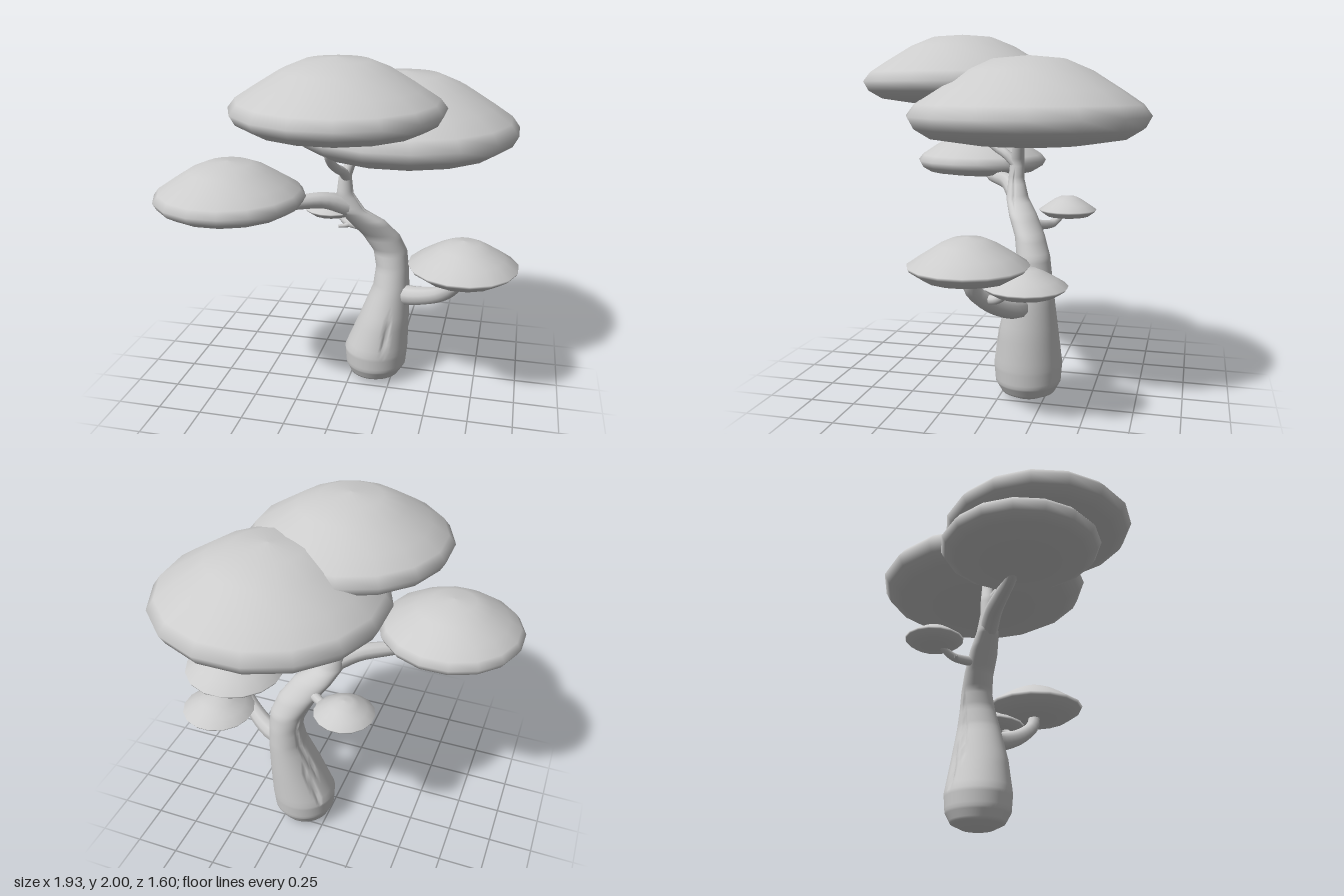
import * as THREE from 'three';

const clay = new THREE.MeshStandardMaterial({ color: 0xcccccc });
clay.name = 'pale grey';

// Canopy profiles, bottom centre to top centre: radius and height as fractions
const largeProfile = [[0, 0], [0.5, 0.02], [0.82, 0.09], [0.95, 0.2], [1, 0.33], [0.93, 0.46], [0.77, 0.61], [0.52, 0.83], [0.3, 0.96], [0, 1]];
const smallProfile = [[0, 0], [0.45, 0], [0.74, 0.03], [0.97, 0.26], [1, 0.34], [0.75, 0.58], [0.48, 0.82], [0.28, 0.95], [0, 1]];

// Trunk sections: height, centre x, centre z, half width x, half width z
const trunkSections = [
  [0.01, 0.145, -0.155, 0.09, 0.09],
  [0.04, 0.145, -0.155, 0.15, 0.15],
  [0.1, 0.15, -0.155, 0.182, 0.182],
  [0.2, 0.152, -0.155, 0.19, 0.19],
  [0.4, 0.195, -0.165, 0.15, 0.165],
  [0.6, 0.232, -0.185, 0.108, 0.128],
  [0.72, 0.235, -0.195, 0.097, 0.105],
  [0.82, 0.22, -0.195, 0.1, 0.09],
  [0.92, 0.17, -0.165, 0.11, 0.08],
  [1.02, 0.095, -0.11, 0.11, 0.075],
  [1.1, 0.015, -0.06, 0.078, 0.062],
  [1.2, -0.02, -0.045, 0.048, 0.046],
  [1.3, -0.02, -0.05, 0.036, 0.04],
  [1.4, 0.018, -0.065, 0.028, 0.032],
  [1.56, 0.05, -0.08, 0.024, 0.026],
];

// Bark grooves: angle from +x toward +z (start, end), height range, half angle, depth
const grooves = [
  [1.15, 1.3, 0.2, 0.48, 0.1, 0.14],
  [3.7, 3.85, 0.17, 0.47, 0.1, 0.14],
  [3.35, 3.75, 0.36, 0.86, 0.13, 0.16],
  [0.1, 0.1, 1.07, 1.25, 0.22, 0.2],
];

function grooveDepth(angle, y) {
  let depth = 0;
  for (const [a0, a1, y0, y1, half, amount] of grooves) {
    const t = (y - y0) / (y1 - y0);
    if (t <= 0 || t >= 1) continue;
    const width = half * Math.sin(Math.PI * t);
    let d = angle - (a0 + (a1 - a0) * t);
    d = Math.abs(Math.atan2(Math.sin(d), Math.cos(d)));
    if (d < width) depth = Math.max(depth, amount * (1 - d / width));
  }
  return depth;
}

function trunkGeometry() {
  const sides = 72, steps = 5, pos = [], index = [], rows = [];
  for (let i = 0; i < trunkSections.length - 1; i++) {
    for (let s = 0; s < steps; s++) {
      rows.push(trunkSections[i].map((v, k) => v + (trunkSections[i + 1][k] - v) * s / steps));
    }
  }
  rows.push(trunkSections[trunkSections.length - 1]);
  for (const [y, cx, cz, rx, rz] of rows) {
    for (let j = 0; j < sides; j++) {
      const a = j / sides * Math.PI * 2, k = 1 - grooveDepth(a, y);
      pos.push(cx + Math.cos(a) * rx * k, y, cz + Math.sin(a) * rz * k);
    }
  }
  for (let i = 0; i < rows.length - 1; i++) {
    for (let j = 0; j < sides; j++) {
      const a = i * sides + j, b = i * sides + (j + 1) % sides;
      index.push(a, a + sides, b, b, a + sides, b + sides);
    }
  }
  // Rounded base closed with a centre point
  const base = pos.length / 3;
  pos.push(0.145, 0, -0.155);
  for (let j = 0; j < sides; j++) index.push(base, j, (j + 1) % sides);
  const geometry = new THREE.BufferGeometry();
  geometry.setAttribute('position', new THREE.Float32BufferAttribute(pos, 3));
  geometry.setIndex(index);
  geometry.computeVertexNormals();
  return geometry;
}

// Tube that narrows from r0 to r1 along its path
function branchGeometry(points, r0, r1) {
  const curve = new THREE.CatmullRomCurve3(points.map(p => new THREE.Vector3(...p)));
  const segments = 14, sides = 10;
  const geometry = new THREE.TubeGeometry(curve, segments, r0, sides, false);
  const position = geometry.attributes.position, v = new THREE.Vector3();
  for (let i = 0; i < position.count; i++) {
    const u = Math.floor(i / (sides + 1)) / segments;
    const centre = curve.getPointAt(u);
    v.fromBufferAttribute(position, i).sub(centre).multiplyScalar(1 + (r1 / r0 - 1) * u).add(centre);
    position.setXYZ(i, v.x, v.y, v.z);
  }
  return geometry;
}

function canopyGeometry(profile, radius, height) {
  const sides = 16, r = radius / Math.cos(Math.PI / sides);
  const points = profile.map(([x, y]) => new THREE.Vector2(x * r, y * height));
  return new THREE.LatheGeometry(points, sides, Math.PI / sides);
}

export function createModel() {
  const tree = new THREE.Group();
  tree.name = 'tree';
  const add = (name, geometry) => {
    const mesh = new THREE.Mesh(geometry, clay);
    mesh.name = name;
    tree.add(mesh);
    return mesh;
  };

  add('trunk', trunkGeometry());

  // Branches
  add('topFork', branchGeometry([[-0.01, 1.28, -0.05], [-0.02, 1.34, 0.01], [-0.045, 1.38, 0.08], [-0.06, 1.47, 0.18], [-0.05, 1.66, 0.24]], 0.028, 0.02));
  add('rightBranch', branchGeometry([[0, 1.12, -0.05], [-0.12, 1.17, 0.02], [-0.28, 1.175, 0.12], [-0.42, 1.18, 0.21], [-0.52, 1.24, 0.28]], 0.055, 0.028));
  add('backTwig', branchGeometry([[0.1, 0.97, -0.15], [0.01, 0.955, -0.21], [-0.06, 0.955, -0.25], [-0.13, 1.01, -0.3]], 0.032, 0.018));
  add('backTwigStub', branchGeometry([[-0.02, 0.955, -0.23], [-0.06, 0.94, -0.22], [-0.1, 0.935, -0.21]], 0.02, 0.008));
  add('leftBranch', branchGeometry([[0.25, 0.56, -0.16], [0.38, 0.57, -0.12], [0.54, 0.64, -0.03], [0.63, 0.73, 0.03], [0.67, 0.83, 0.035]], 0.064, 0.034));
  add('leftTwig', branchGeometry([[0.56, 0.66, -0.01], [0.59, 0.67, -0.08], [0.62, 0.7, -0.13], [0.64, 0.76, -0.18]], 0.026, 0.018));

  // Canopies: name, profile, centre x, bottom y, centre z, radius, height
  const canopies = [
    ['topFrontCanopy', largeProfile, 0.01, 1.62, 0.255, 0.545, 0.38],
    ['topBackCanopy', largeProfile, 0.29, 1.42, -0.18, 0.622, 0.455],
    ['rightCanopy', largeProfile, -0.57, 1.165, 0.31, 0.4, 0.285],
    ['backSmallCanopy', smallProfile, -0.165, 0.98, -0.315, 0.162, 0.12],
    ['leftCanopy', smallProfile, 0.665, 0.79, 0.035, 0.298, 0.21],
    ['leftSmallCanopy', smallProfile, 0.64, 0.72, -0.245, 0.205, 0.135],
  ];
  for (const [name, profile, x, y, z, radius, height] of canopies) {
    add(name, canopyGeometry(profile, radius, height)).position.set(x, y, z);
  }
  return tree;
}
